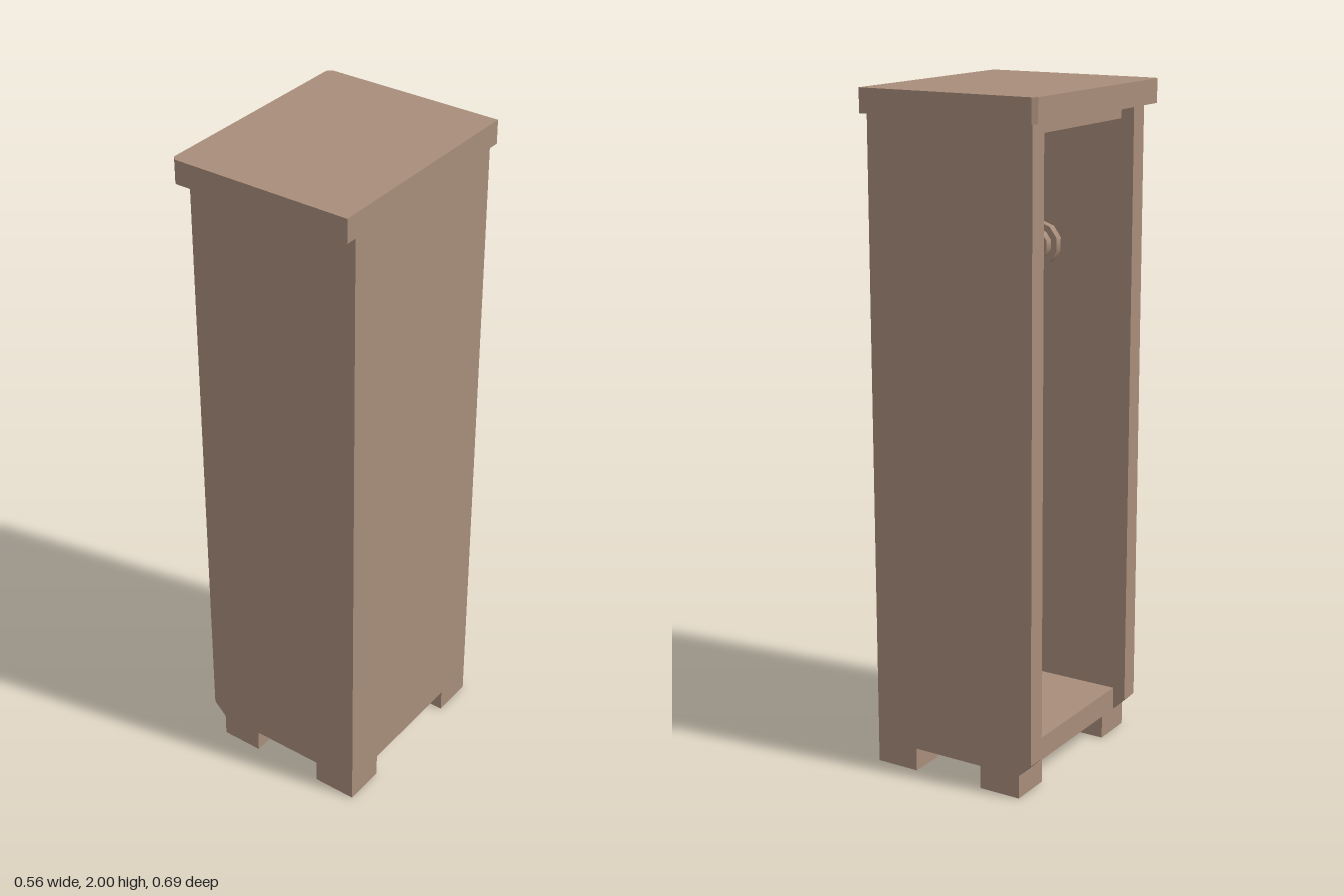
import * as THREE from 'three';

export function createModel() {
  const model = new THREE.Group();
  model.name = 'wardrobe';
  const wood = new THREE.MeshStandardMaterial({ color: 0xa88d7a });
  wood.name = 'brown wood';

  const add = (name, geometry, x = 0, y = 0, z = 0) => {
    const mesh = new THREE.Mesh(geometry, wood);
    mesh.name = name;
    mesh.position.set(x, y, z);
    model.add(mesh);
    return mesh;
  };
  // Box given by its lower and upper corners
  const box = (name, x0, x1, y0, y1, z0, z1) =>
    add(name, new THREE.BoxGeometry(x1 - x0, y1 - y0, z1 - z0),
      (x0 + x1) / 2, (y0 + y1) / 2, (z0 + z1) / 2);
  const outline = (points) => new THREE.Shape(points.map(([x, y]) => new THREE.Vector2(x, y)));
  const extrude = (shape, depth) =>
    new THREE.ExtrudeGeometry(shape, { depth, bevelEnabled: false, curveSegments: 8 });

  // Top slab with clipped corners on the open side
  const slab = extrude(outline([
    [-0.28, -0.332], [-0.267, -0.345], [0.28, -0.345],
    [0.28, 0.345], [-0.267, 0.345], [-0.28, 0.332],
  ]), 0.07);
  slab.rotateX(-Math.PI / 2);
  add('topSlab', slab, 0, 1.93, 0);

  // Side panels with a clipped lower corner
  const panel = extrude(outline([
    [-0.21, 0.07], [0.28, 0.07], [0.28, 1.93], [-0.25, 1.93], [-0.25, 0.11],
  ]), 0.06);
  add('sidePanelFront', panel, 0, 0, 0.25);
  add('sidePanelRear', panel, 0, 0, -0.31);

  // Closed wall, floor and inner top
  box('closedWall', 0.22, 0.28, 0.07, 1.93, -0.25, 0.25);
  box('floor', -0.21, 0.22, 0.07, 0.14, -0.25, 0.25);
  box('innerTop', -0.21, 0.22, 1.89, 1.93, -0.25, 0.25);

  // Hanging rail with a flange and hub at each end
  const railX = 0.05, railY = 1.51;
  const disc = (name, radius, length, sides, z) => {
    const geometry = new THREE.CylinderGeometry(radius, radius, length, sides);
    geometry.rotateX(Math.PI / 2);
    add(name, geometry, railX, railY, z);
  };
  disc('hangingRail', 0.03, 0.5, 16, 0);
  for (const side of [-1, 1]) {
    disc('railFlange', 0.065, 0.025, 10, side * 0.2375);
    disc('railHub', 0.045, 0.025, 10, side * 0.2125);
  }

  // Feet, with the inward corner rounded
  const r = 0.03;
  for (const [x0, x1, inX] of [[-0.21, -0.08, 1], [0.145, 0.28, -1]]) {
    for (const inZ of [-1, 1]) {
      const w = (x1 - x0) / 2, d = 0.065;
      const foot = new THREE.Shape();
      foot.moveTo(-inX * w, inZ * d);
      foot.lineTo(-inX * w, -inZ * d);
      foot.lineTo(inX * w, -inZ * d);
      foot.lineTo(inX * w, inZ * (d - r));
      foot.quadraticCurveTo(inX * w, inZ * d, inX * (w - r), inZ * d);
      foot.closePath();
      const geometry = extrude(foot, 0.07);
      geometry.rotateX(-Math.PI / 2);
      add('foot', geometry, (x0 + x1) / 2, 0, inZ * 0.245);
    }
  }
  return model;
}
